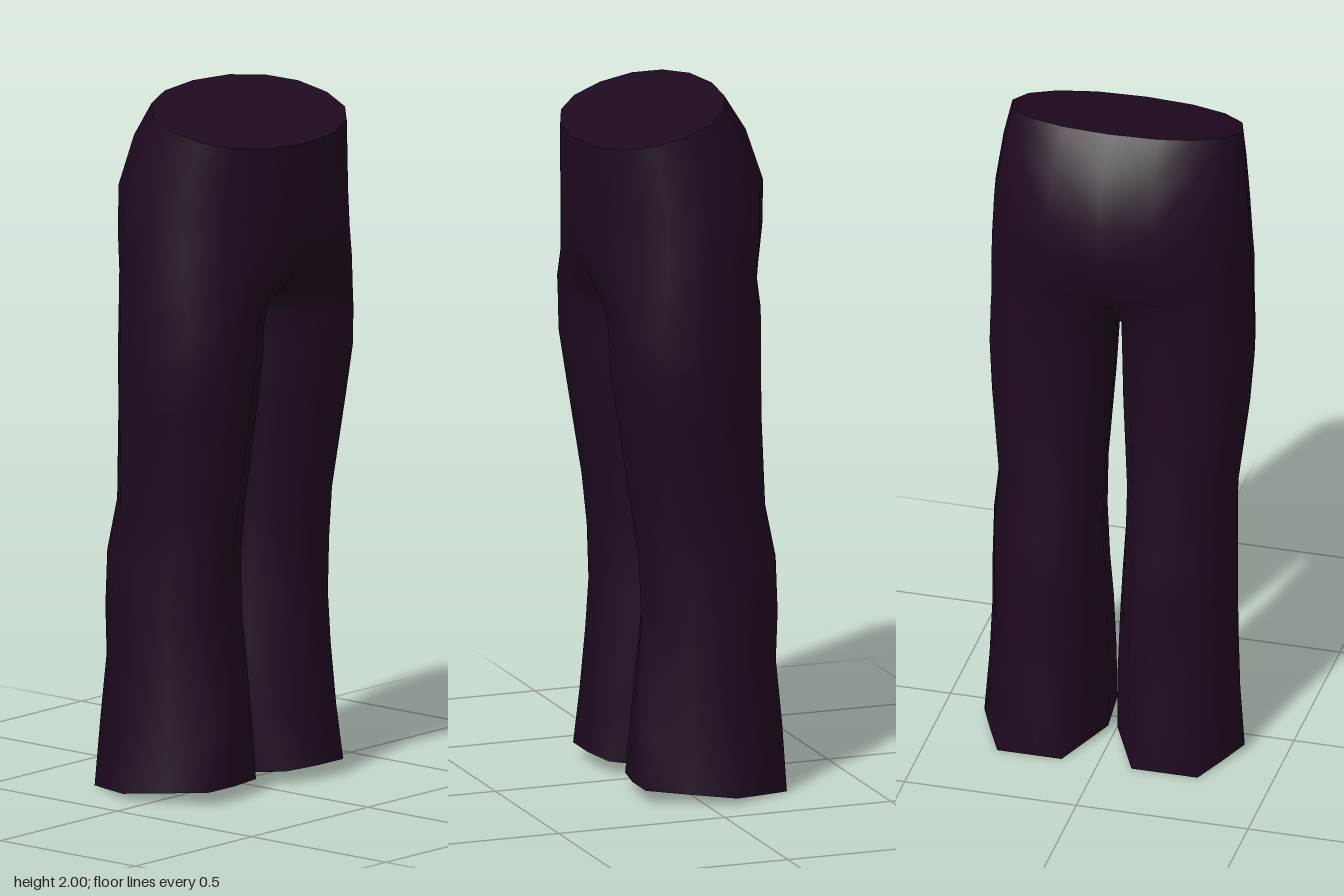
import * as THREE from 'three';
import { mergeVertices } from 'three/addons/utils/BufferGeometryUtils.js';

// Pelvis sections, top down: [yFront, yBack, halfWidth, zFront, zBack, centre pinch, roundness]
const PELVIS = [
  [1.88, 2.00, 0.335, 0.267, -0.152, 0, 0.92],
  [1.80, 1.90, 0.352, 0.267, -0.215, 0, 0.92],
  [1.68, 1.75, 0.368, 0.263, -0.265, 0, 0.90],
  [1.58, 1.62, 0.373, 0.258, -0.258, 0.02, 0.86],
  [1.50, 1.50, 0.376, 0.252, -0.238, 0.09, 0.80],
];
// Leg sections, top down: [yFront, yBack, xInner, xOuter, zFront, zBack, blend to hem shape]
const LEG = [
  [1.41, 1.41, 0.000, 0.379, 0.229, -0.213, 0],
  [1.36, 1.36, 0.010, 0.381, 0.226, -0.212, 0],
  [1.25, 1.25, 0.013, 0.384, 0.222, -0.211, 0],
  [1.10, 1.10, 0.019, 0.374, 0.199, -0.213, 0],
  [0.83, 0.83, 0.036, 0.345, 0.157, -0.227, 0.1],
  [0.68, 0.68, 0.034, 0.355, 0.135, -0.252, 0.3],
  [0.52, 0.52, 0.026, 0.357, 0.127, -0.255, 0.45],
  [0.38, 0.38, 0.018, 0.358, 0.134, -0.247, 0.6],
  [0.20, 0.20, 0.013, 0.365, 0.146, -0.260, 0.8],
  [0.04, 0.00, 0.014, 0.379, 0.157, -0.266, 1],
];
// Angular hem outline in units of half width and half depth
const HEM = [
  [-0.72, 0.90], [-0.1, 1], [0.5, 1], [0.77, 0.42], [1, -0.14], [0.78, -0.55],
  [0.52, -1], [-0.1, -1], [-0.52, -1], [-0.77, -0.55], [-1, -0.14], [-0.95, 0.5],
];
const OUTER = 9, FULL = 12; // points on a half pelvis ring and on a leg ring

const bend = (v, e) => Math.abs(v) < 1e-6 ? 0 : Math.sign(v) * Math.abs(v) ** e;

// Half ring from front centre, round the side, to back centre
function pelvisRing([yF, yB, w, zF, zB, pinch, e], side) {
  return Array.from({ length: OUTER }, (_, k) => {
    const t = Math.PI * k / (OUTER - 1);
    const c = bend(Math.cos(t), e) * (k % (OUTER - 1) === 0 ? 1 - pinch : 1);
    return [side * w * bend(Math.sin(t), e), (yF + yB) / 2 + c * (yF - yB) / 2,
      (zF + zB) / 2 + c * (zF - zB) / 2];
  });
}

// Closed ring: outer points first, then the inseam points
function legRing([yF, yB, xI, xO, zF, zB, hem], side, isCrotch) {
  const inner = xI + (isCrotch ? 0 : side * 0.005);
  return Array.from({ length: FULL }, (_, k) => {
    const deg = k < OUTER ? -45 + 33.75 * k : 225 + 22.5 * (k - OUTER + 1);
    const t = deg * Math.PI / 180;
    const s = THREE.MathUtils.lerp(bend(Math.sin(t), 0.95), HEM[k][0], hem);
    const c = THREE.MathUtils.lerp(bend(Math.cos(t), 0.95), HEM[k][1], hem);
    let x = (inner + xO) / 2 + s * (xO - inner) / 2;
    let y = (yF + yB) / 2 + c * (yF - yB) / 2;
    let z = (zF + zB) / 2 + c * (zF - zB) / 2;
    // the inseam meets the other leg on the centre line
    if (isCrotch && (k === 0 || k >= OUTER - 1)) {
      const u = k === 0 ? 1 : (k - OUTER + 1) / 4;
      x = 0;
      z = -0.14 + 0.28 * u;
      y = 1.39 + 0.04 * Math.abs(2 * u - 1);
    }
    return [side * x, y, z];
  });
}

function toGeometry(triangles) {
  const g = new THREE.BufferGeometry();
  g.setAttribute('position', new THREE.Float32BufferAttribute(triangles.flat(2), 3));
  return g;
}

// Flat fan over a ring of points
function capMesh(ring, flip, material, name) {
  const tris = [];
  for (let i = 1; i < ring.length - 1; i++) {
    tris.push(flip ? [ring[0], ring[i + 1], ring[i]] : [ring[0], ring[i], ring[i + 1]]);
  }
  const g = toGeometry(tris);
  g.computeVertexNormals();
  const mesh = new THREE.Mesh(g, material);
  mesh.name = name;
  return mesh;
}

export function createModel() {
  const group = new THREE.Group();
  group.name = 'trousers';
  const cloth = new THREE.MeshStandardMaterial({ color: 0x1f0a1f });
  cloth.name = 'dark plum cloth';

  const tris = [];
  const waist = {};
  for (const side of [1, -1]) {
    const pelvis = PELVIS.map(r => pelvisRing(r, side));
    const legs = LEG.map((r, i) => legRing(r, side, i === 0));
    waist[side] = pelvis[0];

    // Stitch neighbouring sections, facing outward on either side
    const stitch = (up, low, count) => {
      for (let k = 0; k < count; k++) {
        const n = (k + 1) % FULL;
        const a = up[k], b = low[k], c = low[n], d = up[n];
        if (side > 0) tris.push([a, b, c], [a, c, d]);
        else tris.push([a, c, b], [a, d, c]);
      }
    };
    const halves = [...pelvis, legs[0]];
    for (let i = 0; i < halves.length - 1; i++) stitch(halves[i], halves[i + 1], OUTER - 1);
    for (let i = 0; i < legs.length - 1; i++) stitch(legs[i], legs[i + 1], FULL);

    group.add(capMesh(legs.at(-1), side > 0, cloth, side > 0 ? 'leftHem' : 'rightHem'));
  }

  // Seat and both legs as one smooth skin
  const skin = mergeVertices(toGeometry(tris), 1e-4);
  skin.computeVertexNormals();
  const body = new THREE.Mesh(skin, cloth);
  body.name = 'seatAndLegs';
  group.add(body);

  // Slanted waist opening
  const rim = [...waist[1], ...waist[-1].slice(1, -1).reverse()];
  group.add(capMesh(rim, false, cloth, 'waistTop'));
  return group;
}
